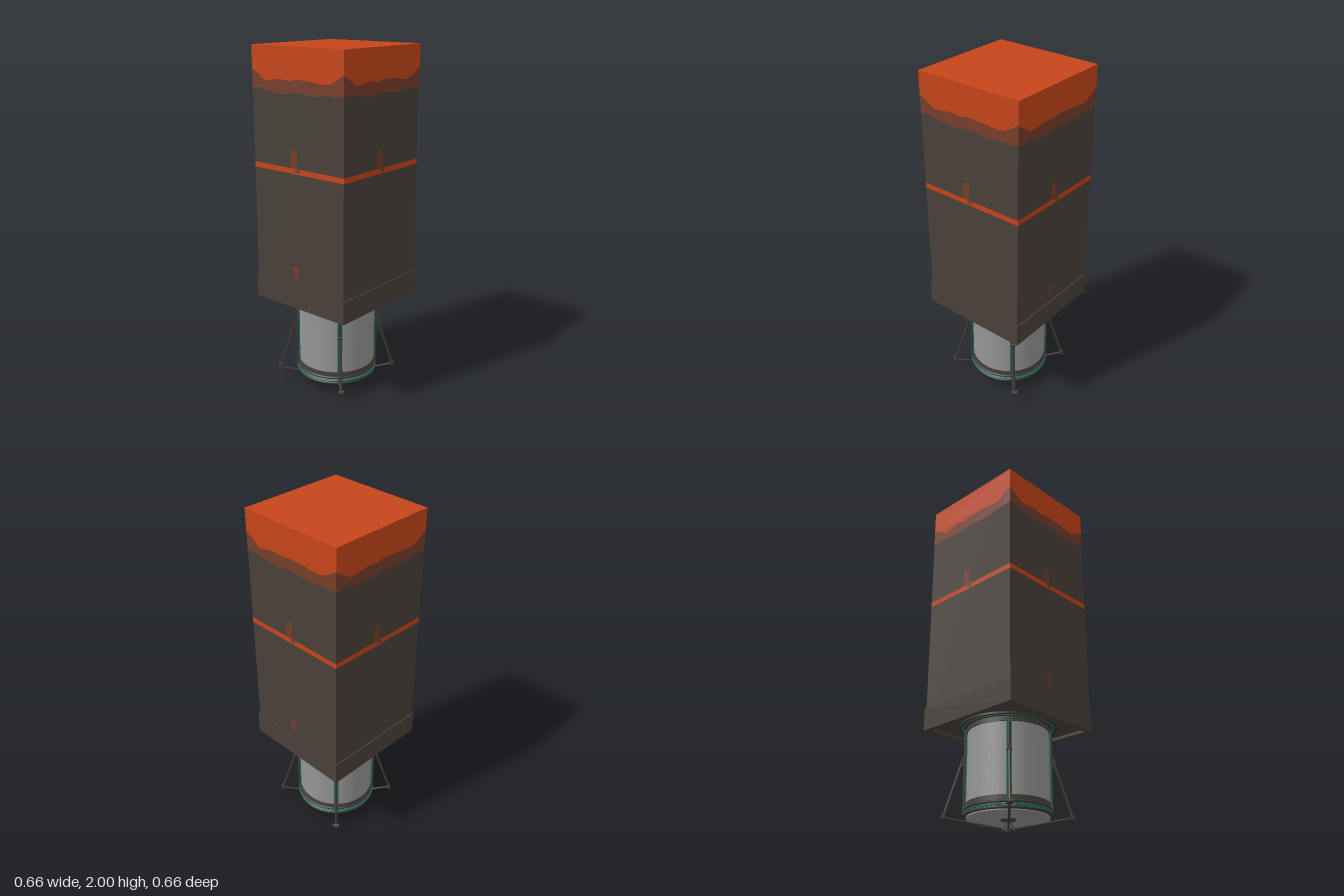
import * as THREE from 'three';

const mat = (name, color) => {
  const m = new THREE.MeshStandardMaterial({ color });
  m.name = name;
  return m;
};

export function createModel() {
  const dark = mat('dark housing', 0x48403a);
  const orange = mat('orange paint', 0xc6451a);
  const worn = mat('worn paint', 0x773e2a);
  const metal = mat('frame metal', 0x3d3932);
  const glass = mat('grey cylinder', 0x959595);
  const teal = mat('teal trim', 0x1a6e69);

  const model = new THREE.Group();
  const add = (parent, name, geometry, material, x = 0, y = 0, z = 0) => {
    const mesh = new THREE.Mesh(geometry, material);
    mesh.name = name;
    mesh.position.set(x, y, z);
    parent.add(mesh);
    return mesh;
  };
  // Round bar between two points
  const bar = (parent, name, a, b, r, material) => {
    const p = new THREE.Vector3(...a), q = new THREE.Vector3(...b);
    const d = q.clone().sub(p);
    const mesh = add(parent, name, new THREE.CylinderGeometry(r, r, d.length(), 10), material);
    mesh.position.copy(p).add(q).multiplyScalar(0.5);
    mesh.quaternion.setFromUnitVectors(new THREE.Vector3(0, 1, 0), d.normalize());
  };
  const band = (name, r, y0, y1, material) =>
    add(model, name, new THREE.CylinderGeometry(r, r, y1 - y0, 48), material, 0, (y0 + y1) / 2, 0);

  // Tall square housing with painted top
  add(model, 'housing', new THREE.BoxGeometry(0.648, 1.429, 0.648), dark, 0, 1.2835, 0);
  add(model, 'topPlate', new THREE.BoxGeometry(0.65, 0.002, 0.65), orange, 0, 1.999, 0);

  // Skirt: square frame, shallow recess below
  const square = (Type, h) => new Type([[-h, -h], [h, -h], [h, h], [-h, h]].map(p => new THREE.Vector2(...p)));
  const frame = square(THREE.Shape, 0.331);
  frame.holes.push(square(THREE.Path, 0.3));
  add(model, 'skirt', new THREE.ExtrudeGeometry(frame, { depth: 0.13, bevelEnabled: false }).rotateX(-Math.PI / 2),
    dark, 0, 0.552, 0);

  // Paint and wear on the four sides; the low scuff is on front and back only
  const topEdge = [[0.325, 1.88], [0.29, 1.855], [0.24, 1.828], [0.2, 1.82], [0.1, 1.83], [0, 1.833], [-0.05, 1.823],
    [-0.12, 1.83], [-0.17, 1.822], [-0.23, 1.815], [-0.27, 1.843], [-0.325, 1.872]];
  const wornEdge = [[0.325, 1.775], [0.29, 1.765], [0.22, 1.768], [0.14, 1.753], [0.05, 1.764], [-0.02, 1.766],
    [-0.1, 1.752], [-0.2, 1.761], [-0.26, 1.775], [-0.325, 1.77]];
  const paint = [
    ['wornBand', [[-0.325, 1.9], [0.325, 1.9], ...wornEdge], worn, 0.3245],
    ['topPaint', [[-0.325, 2], [0.325, 2], ...topEdge], orange, 0.325],
    ['stripe', [[-0.3245, 1.33], [0.3245, 1.33], [0.3245, 1.36], [-0.3245, 1.36]], orange, 0.3245],
    ['upperScuff', [[-0.052, 1.37], [-0.02, 1.36], [-0.015, 1.343], [0.015, 1.336], [0.02, 1.356], [-0.002, 1.375],
      [-0.002, 1.46], [-0.04, 1.462]], worn, 0.325],
  ];
  const lowScuff = ['lowerScuff', [[-0.035, 0.718], [-0.012, 0.72], [0, 0.8], [-0.04, 0.798], [-0.045, 0.775],
    [-0.03, 0.76]], worn, 0.3245];
  for (let i = 0; i < 4; i++) {
    const side = new THREE.Group();
    side.name = 'sidePaint';
    side.rotation.y = i * Math.PI / 2;
    for (const [name, pts, material, z] of i % 2 ? paint : [...paint, lowScuff]) {
      const shape = new THREE.Shape(pts.map(p => new THREE.Vector2(...p)));
      add(side, name, new THREE.ShapeGeometry(shape), material, 0, 0, z);
    }
    model.add(side);
  }

  // Hanging cylinder and its bands
  band('cylinder', 0.224, 0.062, 0.575, glass);
  band('mountFlange', 0.272, 0.558, 0.572, metal);
  band('mountRing', 0.229, 0.532, 0.56, dark);
  band('lowerBand', 0.228, 0.105, 0.14, dark);
  const ring = (name, r, tube, y, material) =>
    add(model, name, new THREE.TorusGeometry(r, tube, 8, 48).rotateX(Math.PI / 2), material, 0, y, 0);
  ring('upperTealRing', 0.25, 0.005, 0.558, teal);
  ring('lowerTealRing', 0.234, 0.006, 0.09, teal);
  ring('rimRing', 0.228, 0.008, 0.106, metal);
  ring('bottomRing', 0.23, 0.009, 0.075, metal);
  ring('hubRing', 0.034, 0.007, 0.06, metal);
  add(model, 'hub', new THREE.CylinderGeometry(0.018, 0.014, 0.012, 16), metal, 0, 0.057, 0);

  // Four folding legs on the diagonals, each built along local +x
  for (let i = 0; i < 4; i++) {
    const leg = new THREE.Group();
    leg.name = 'leg';
    leg.rotation.y = Math.PI / 4 + i * Math.PI / 2;
    bar(leg, 'rail', [0.235, 0.085, 0], [0.235, 0.565, 0], 0.008, metal);
    add(leg, 'tealTrack', new THREE.BoxGeometry(0.008, 0.47, 0.028), teal, 0.226, 0.325, 0);
    add(leg, 'slider', new THREE.BoxGeometry(0.026, 0.05, 0.02), metal, 0.24, 0.375, 0);
    bar(leg, 'sliderPin', [0.25, 0.37, -0.014], [0.25, 0.37, 0.014], 0.011, metal);
    bar(leg, 'upperStrut', [0.25, 0.37, 0], [0.342, 0.075, 0], 0.008, metal);
    bar(leg, 'footJoint', [0.342, 0.074, -0.018], [0.342, 0.074, 0.018], 0.013, metal);
    bar(leg, 'lowerStrut', [0.342, 0.07, 0], [0.03, 0.012, 0], 0.006, metal);
    bar(leg, 'hubLink', [0.03, 0.011, 0], [0.005, 0.055, 0], 0.003, metal);
    add(leg, 'tip', new THREE.SphereGeometry(0.007, 10, 8), metal, 0.03, 0.007, 0);
    model.add(leg);
  }
  return model;
}
